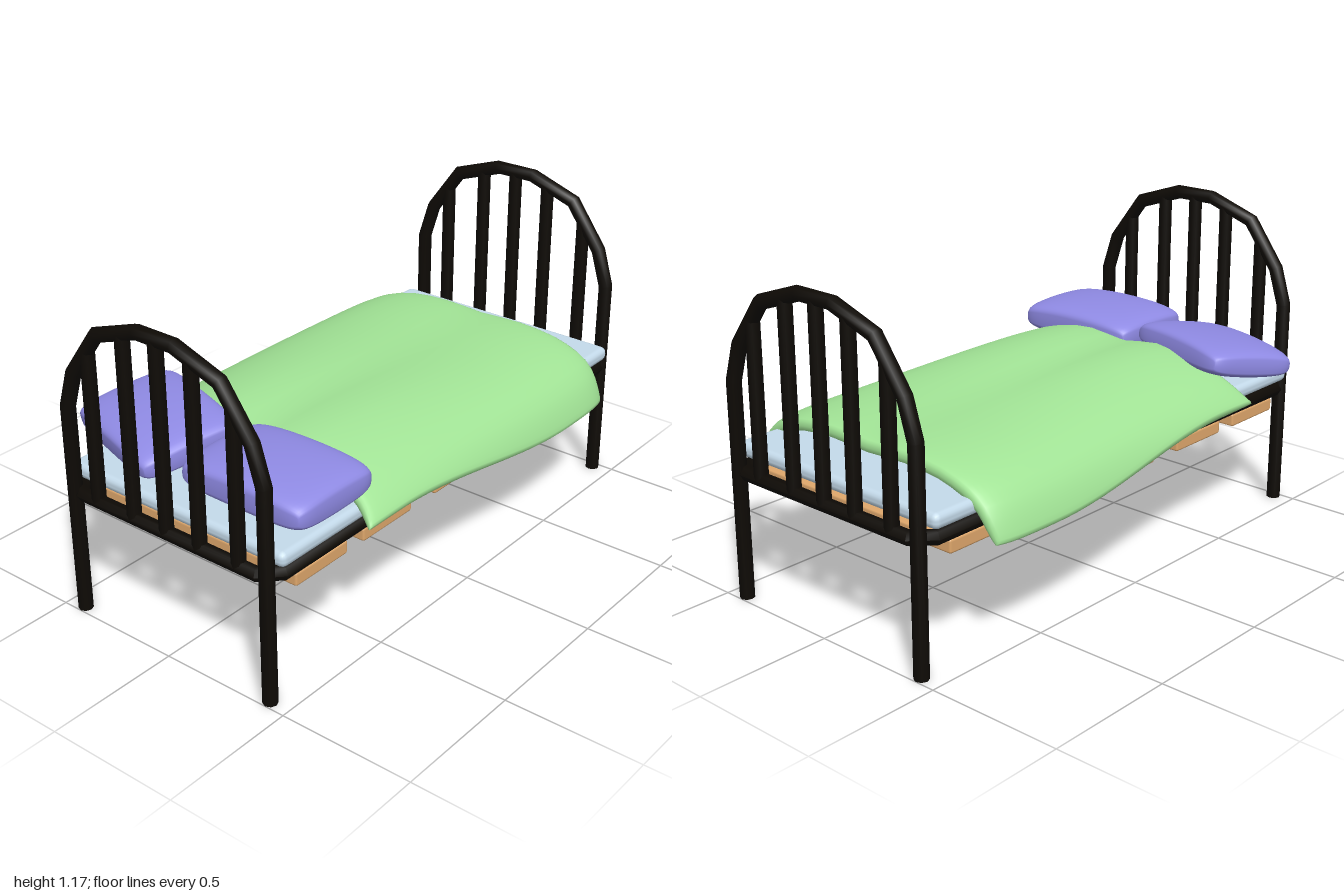
import * as THREE from 'three';
import { mergeVertices, toCreasedNormals } from 'three/addons/utils/BufferGeometryUtils.js';
import { RoundedBoxGeometry } from 'three/addons/geometries/RoundedBoxGeometry.js';
import { ParametricGeometry } from 'three/addons/geometries/ParametricGeometry.js';

const V = (x, y, z) => new THREE.Vector3(x, y, z);
const lerp = THREE.MathUtils.lerp;
const paint = (color) => new THREE.MeshStandardMaterial({ color });
const iron = paint(0x0e0a05);
const wood = paint(0xe0a86c);
const mattressCloth = paint(0xc4daea);
const blanketCloth = paint(0xa2e496);
const pillowCloth = paint(0x8f8ae4);

function add(parent, name, geometry, material, x = 0, y = 0, z = 0) {
  const mesh = new THREE.Mesh(geometry, material);
  mesh.name = name;
  mesh.position.set(x, y, z);
  parent.add(mesh);
  return mesh;
}

// Mitred bar along a planar polyline; n is the normal of its plane
function bar(points, n, radius, sides, closed = false) {
  const pos = [], index = [], count = points.length;
  points.forEach((p, i) => {
    const prev = points[(i + count - 1) % count], next = points[(i + 1) % count];
    let din = p.clone().sub(prev).normalize(), dout = next.clone().sub(p).normalize();
    if (!closed && i === 0) din = dout;
    if (!closed && i === count - 1) dout = din;
    const t = din.clone().add(dout).normalize();
    const side = n.clone().cross(t).multiplyScalar(1 / t.dot(din));
    for (let j = 0; j < sides; j++) {
      const a = (j / sides) * Math.PI * 2;
      const q = p.clone().addScaledVector(side, radius * Math.cos(a)).addScaledVector(n, radius * Math.sin(a));
      pos.push(q.x, q.y, q.z);
    }
  });
  for (let i = 0; i < (closed ? count : count - 1); i++) {
    for (let j = 0; j < sides; j++) {
      const a = i * sides + j, b = i * sides + (j + 1) % sides;
      const d = ((i + 1) % count) * sides + j, c = ((i + 1) % count) * sides + (j + 1) % sides;
      index.push(a, b, d, b, c, d);
    }
  }
  if (!closed) {
    const last = (count - 1) * sides;
    for (let j = 1; j < sides - 1; j++) index.push(0, j + 1, j, last, last + j, last + j + 1);
  }
  const geo = new THREE.BufferGeometry();
  geo.setAttribute('position', new THREE.Float32BufferAttribute(pos, 3));
  geo.setIndex(index);
  return toCreasedNormals(geo, 1.1);
}

// Soft closed slab: mid(s, t) gives its middle surface and normal, s and t in -1..1
function softSlab(halfThickness, power, mid) {
  const geo = new ParametricGeometry((u, v, target) => {
    const a = u * Math.PI * 2;
    const { point, normal } = mid(-Math.cos(a), -Math.cos(v * Math.PI));
    const round = (k) => (Math.abs(k) < 1e-6 ? 0 : Math.sign(k) * Math.abs(k) ** power);
    target.copy(point).addScaledVector(normal, halfThickness * round(Math.sin(a)) * round(Math.sin(v * Math.PI)));
  }, 56, 32);
  geo.deleteAttribute('normal');
  geo.deleteAttribute('uv');
  const merged = mergeVertices(geo, 1e-4);
  merged.computeVertexNormals();
  return merged;
}

function blanketGeometry() {
  // Half cross-sections of the middle surface, as (z, y)
  const curve = (list) => new THREE.CatmullRomCurve3(list.map(([z, y]) => V(0, y, z)));
  const head = curve([[0, 0.632], [0.17, 0.652], [0.34, 0.622], [0.46, 0.57], [0.54, 0.51]]);
  const foot = curve([[0, 0.605], [0.2, 0.612], [0.38, 0.59], [0.5, 0.535], [0.575, 0.42]]);
  return softSlab(0.042, 0.4, (s, t) => {
    const k = Math.abs(s), sign = s < 0 ? -1 : 1;
    const headEnd = -0.565 - 0.05 * k ** 4;
    const footEnd = 0.785 - 0.02 * k ** 6;
    const x = lerp(headEnd, footEnd, (t + 1) / 2);
    const blend = THREE.MathUtils.smoothstep(x, -0.45, 0.5);
    const point = head.getPoint(k).lerp(foot.getPoint(k), blend);
    const tangent = head.getTangent(k).lerp(foot.getTangent(k), blend).normalize();
    const corner = t > 0 ? 1 - 0.04 * t ** 12 : 1;
    const normal = V(0, tangent.z, -tangent.y * sign);
    if (k < 0.001) normal.set(0, 1, 0);
    return { point: V(x, point.y, point.z * sign * corner), normal };
  });
}

function pillowGeometry(halfX, halfZ, halfY) {
  return softSlab(halfY, 0.42, (s, t) => ({
    point: V(halfX * t * (1 - 0.07 * s ** 8), 0.006 * (1 - s * s), halfZ * s * (1 - 0.06 * t ** 8)),
    normal: V(0, 1, 0),
  }));
}

// Arched end with two legs and five upright bars
function endFrame(name, x) {
  const group = new THREE.Group();
  group.name = name;
  group.position.x = x;
  const half = [[0.425, 0], [0.425, 0.785], [0.383, 0.92], [0.262, 1.085], [0.078, 1.148]];
  const path = [
    ...half.map(([z, y]) => V(0, y, z)),
    ...half.slice().reverse().map(([z, y]) => V(0, y, -z)),
  ];
  add(group, 'archAndLegs', bar(path, V(1, 0, 0), 0.026, 8), iron);
  for (const [z, top] of [[0, 1.145], [0.145, 1.12], [-0.145, 1.12], [0.31, 1.015], [-0.31, 1.015]]) {
    add(group, 'uprightBar', new THREE.CylinderGeometry(0.025, 0.025, top - 0.467, 8), iron, 0, (top + 0.467) / 2, z);
  }
  return group;
}

export function createModel() {
  const bed = new THREE.Group();
  bed.name = 'bed';
  bed.add(endFrame('headboard', -0.974), endFrame('footboard', 0.974));

  // Rail loop with cut corners
  const rx = 0.974, rz = 0.443, cut = 0.06;
  const loop = [
    [rx, rz - cut], [rx, cut - rz], [rx - cut, -rz], [cut - rx, -rz],
    [-rx, cut - rz], [-rx, rz - cut], [cut - rx, rz], [rx - cut, rz],
  ].map(([x, z]) => V(x, 0.467, z));
  add(bed, 'rail', bar(loop, V(0, 1, 0), 0.025, 6, true), iron);

  // Slats under the rails
  for (const [x0, x1] of [[-0.875, -0.62], [-0.54, -0.28], [-0.15, 0.145], [0.275, 0.535], [0.61, 0.87]]) {
    add(bed, 'slat', new RoundedBoxGeometry(x1 - x0, 0.05, 0.915, 1, 0.009), wood, (x0 + x1) / 2, 0.421, 0);
  }

  // Bedding
  add(bed, 'mattress', new RoundedBoxGeometry(1.895, 0.056, 0.945, 2, 0.024), mattressCloth, -0.003, 0.527, 0);
  add(bed, 'blanket', blanketGeometry(), blanketCloth);
  add(bed, 'leftPillow', pillowGeometry(0.19, 0.258, 0.074), pillowCloth, -0.722, 0.654, 0.25);
  const tilted = add(bed, 'rightPillow', pillowGeometry(0.188, 0.255, 0.066), pillowCloth, -0.698, 0.65, -0.303);
  tilted.rotation.set(0, -0.31, 0.17, 'YXZ');

  return bed;
}
